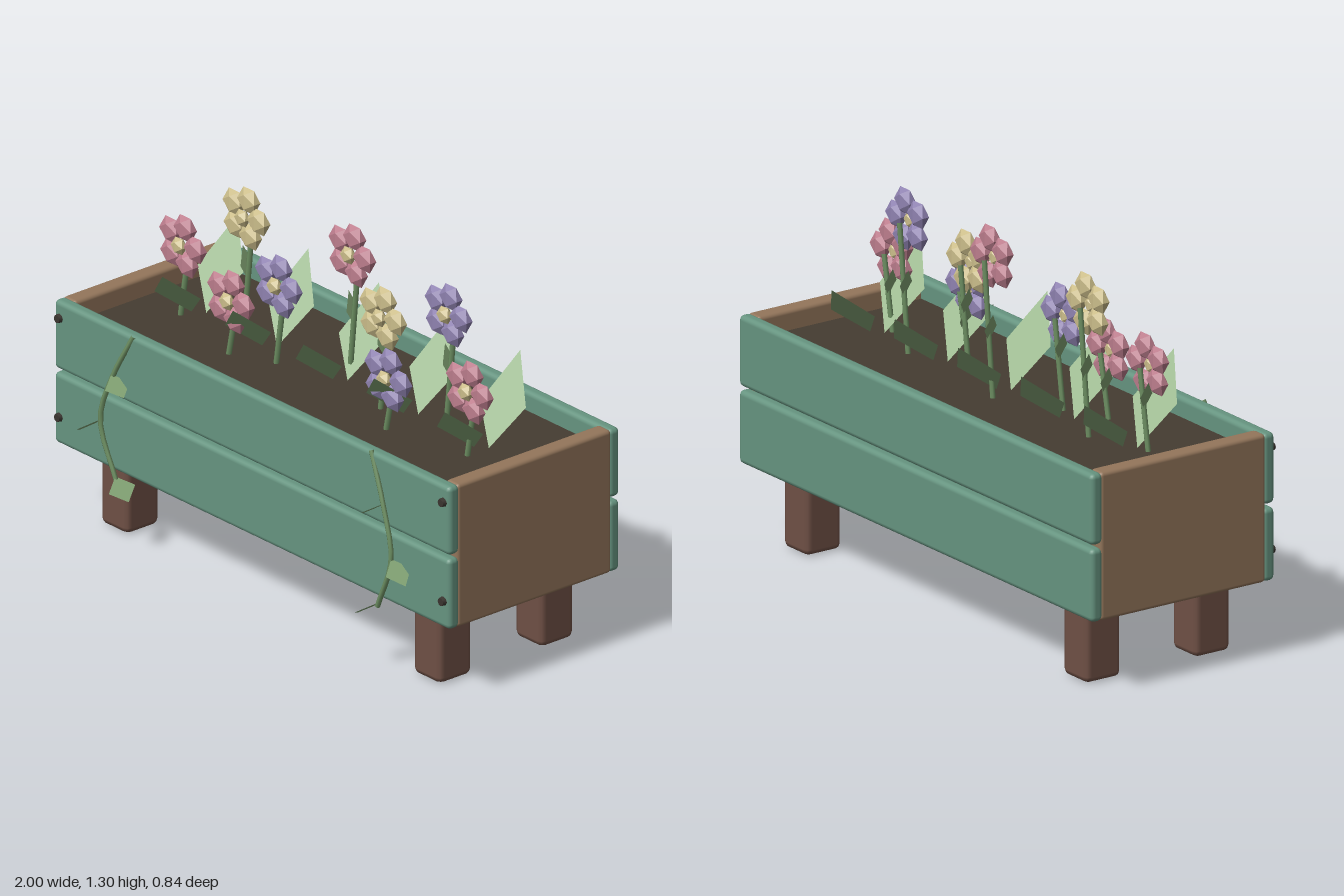
import * as THREE from 'three';
import { RoundedBoxGeometry } from 'three/addons/geometries/RoundedBoxGeometry.js';

const mat = (name, color, extra = {}) =>
  Object.assign(new THREE.MeshStandardMaterial({ color, ...extra }), { name });

export function createModel() {
  const model = new THREE.Group();
  model.name = 'flowerPlanter';

  const paint = mat('green paint', 0x669480);
  const wood = mat('warm wood', 0x94765b);
  const darkWood = mat('dark wood', 0x6f5045);
  const soilMat = mat('soil', 0x453d32);
  const iron = mat('dark iron', 0x3a342f);
  const stemMat = mat('stem green', 0x6d8f62);
  const leafMat = mat('leaf green', 0x88aa79, { side: THREE.DoubleSide, flatShading: true });
  const pink = mat('pink petal', 0xbc7d8d, { flatShading: true });
  const yellow = mat('yellow petal', 0xcbbd8a, { flatShading: true });
  const purple = mat('purple petal', 0x8f82b0, { flatShading: true });

  const add = (name, geometry, material, x = 0, y = 0, z = 0, parent = model) => {
    const mesh = new THREE.Mesh(geometry, material);
    mesh.name = name;
    mesh.position.set(x, y, z);
    parent.add(mesh);
    return mesh;
  };

  // Rounded box given by its lower and upper limits
  const slab = (name, material, [x0, x1], [y0, y1], [z0, z1], r, seg = 2) =>
    add(name, new RoundedBoxGeometry(x1 - x0, y1 - y0, z1 - z0, seg, r), material,
      (x0 + x1) / 2, (y0 + y1) / 2, (z0 + z1) / 2);

  // Flat four-cornered leaf from base to tip, with its widest point part way along
  const leaf = (name, base, tip, halfWidth, at = 0.45, parent = model) => {
    const b = new THREE.Vector3(...base), t = new THREE.Vector3(...tip);
    const w = new THREE.Vector3(...halfWidth);
    const mid = b.clone().lerp(t, at);
    const pts = [b, mid.clone().add(w), t, mid.clone().sub(w)];
    const g = new THREE.BufferGeometry().setFromPoints(pts);
    g.setIndex([0, 1, 2, 0, 2, 3]);
    g.computeVertexNormals();
    return add(name, g, leafMat, 0, 0, 0, parent);
  };

  const tube = (name, points, radius, parent) => {
    const curve = new THREE.CatmullRomCurve3(points.map(p => new THREE.Vector3(...p)));
    return add(name, new THREE.TubeGeometry(curve, 12, radius, 6), stemMat, 0, 0, 0, parent);
  };

  // Box: painted planks front and back, wooden ends, soil and floor
  for (const [y0, y1] of [[0.27, 0.527], [0.54, 0.79]]) {
    slab('frontPlank', paint, [-1, 1], [y0, y1], [0.277, 0.325], 0.018);
    slab('backPlank', paint, [-1, 1], [y0, y1], [-0.425, -0.377], 0.018);
  }
  for (const s of [-1, 1]) {
    slab('endBoard', wood, [s * 0.967 - 0.032, s * 0.967 + 0.032], [0.27, 0.79], [-0.388, 0.288], 0.014);
  }
  add('soil', new THREE.BoxGeometry(1.9, 0.42, 0.66), soilMat, 0, 0.51, -0.05);
  add('floorBoard', new THREE.BoxGeometry(1.9, 0.03, 0.68), darkWood, 0, 0.29, -0.05);

  // Chamfered legs and front screws
  for (const s of [-1, 1]) {
    for (const z of [0.173, -0.273]) {
      slab('leg', darkWood, [s * 0.79 - 0.07, s * 0.79 + 0.07], [0, 0.3], [z - 0.072, z + 0.072], 0.022, 1);
    }
    for (const y of [0.37, 0.73]) {
      const screw = add('screw', new THREE.CylinderGeometry(0.014, 0.018, 0.02, 8), iron, s * 0.97, y, 0.328);
      screw.rotation.x = Math.PI / 2;
    }
  }

  // Five leaf tufts, each with one leaf forward and one back
  for (let k = -2; k <= 2; k++) {
    const x = 0.01 + k * 0.357;
    leaf('frontLeaf', [x - 0.02, 0.73, -0.04], [x + 0.13, 0.985, 0.218], [0.073, 0, -0.038], 0.48);
    leaf('backLeaf', [x + 0.02, 0.73, -0.07], [x - 0.115, 0.965, -0.325], [0.072, 0, -0.038], 0.45);
  }

  // Flowers: colour, then centre of the head
  const petalGeo = new THREE.IcosahedronGeometry(0.051, 0).scale(1, 1, 0.52);
  const eyeGeo = new THREE.IcosahedronGeometry(0.033, 0).scale(1, 1, 0.7);
  const flowers = [
    [pink, -0.7, 1.0, 0.022], [yellow, -0.465, 1.16, -0.052], [purple, -0.2, 1.03, 0.036],
    [pink, -0.36, 0.94, 0.106], [pink, 0.038, 1.19, -0.08], [yellow, 0.3, 1.08, 0.012],
    [purple, 0.435, 0.93, 0.106], [purple, 0.565, 1.165, -0.045], [pink, 0.77, 0.98, 0.04],
  ];
  for (const [petalMat, x, y, z] of flowers) {
    const flower = new THREE.Group();
    flower.name = 'flower';
    model.add(flower);
    for (let i = 0; i < 5; i++) {
      const a = i * Math.PI * 0.4 + 0.07;
      add('petal', petalGeo, petalMat, x + Math.cos(a) * 0.067, y + Math.sin(a) * 0.067, z, flower);
    }
    add('flowerCentre', eyeGeo, yellow, x, y, z + 0.014, flower);
    const zs = z - 0.034;
    tube('stem', [[x - 0.05, 0.7, zs], [x - 0.025, (0.7 + y) / 2, zs], [x, y, zs]], 0.01, flower);
    // Small upright leaf on the stem, edge-on to the front
    const ly = Math.min(0.91, y - 0.14);
    leaf('stemLeaf', [x - 0.022, ly, zs], [x - 0.07, ly + 0.11, zs - 0.015], [0.01, 0, 0.032], 0.5, flower);
  }

  // Trailing vines, mirrored, with leaves standing out from the front
  for (const s of [-1, 1]) {
    const vine = new THREE.Group();
    vine.name = 'vine';
    model.add(vine);
    tube('vineStem', [[s * 0.6, 0.79, 0.32], [s * 0.685, 0.62, 0.34],
      [s * 0.735, 0.45, 0.35], [s * 0.66, 0.25, 0.345]], 0.009, vine);
    leaf('vineLeaf', [s * 0.685, 0.63, 0.345], [s * 0.605, 0.575, 0.36], [0, 0, 0.055], 0.5, vine);
    leaf('vineLeaf', [s * 0.735, 0.45, 0.35], [s * 0.825, 0.385, 0.365], [0, 0, 0.055], 0.5, vine);
    leaf('vineLeaf', [s * 0.665, 0.265, 0.345], [s * 0.58, 0.205, 0.36], [0, 0, 0.058], 0.5, vine);
  }
  return model;
}
